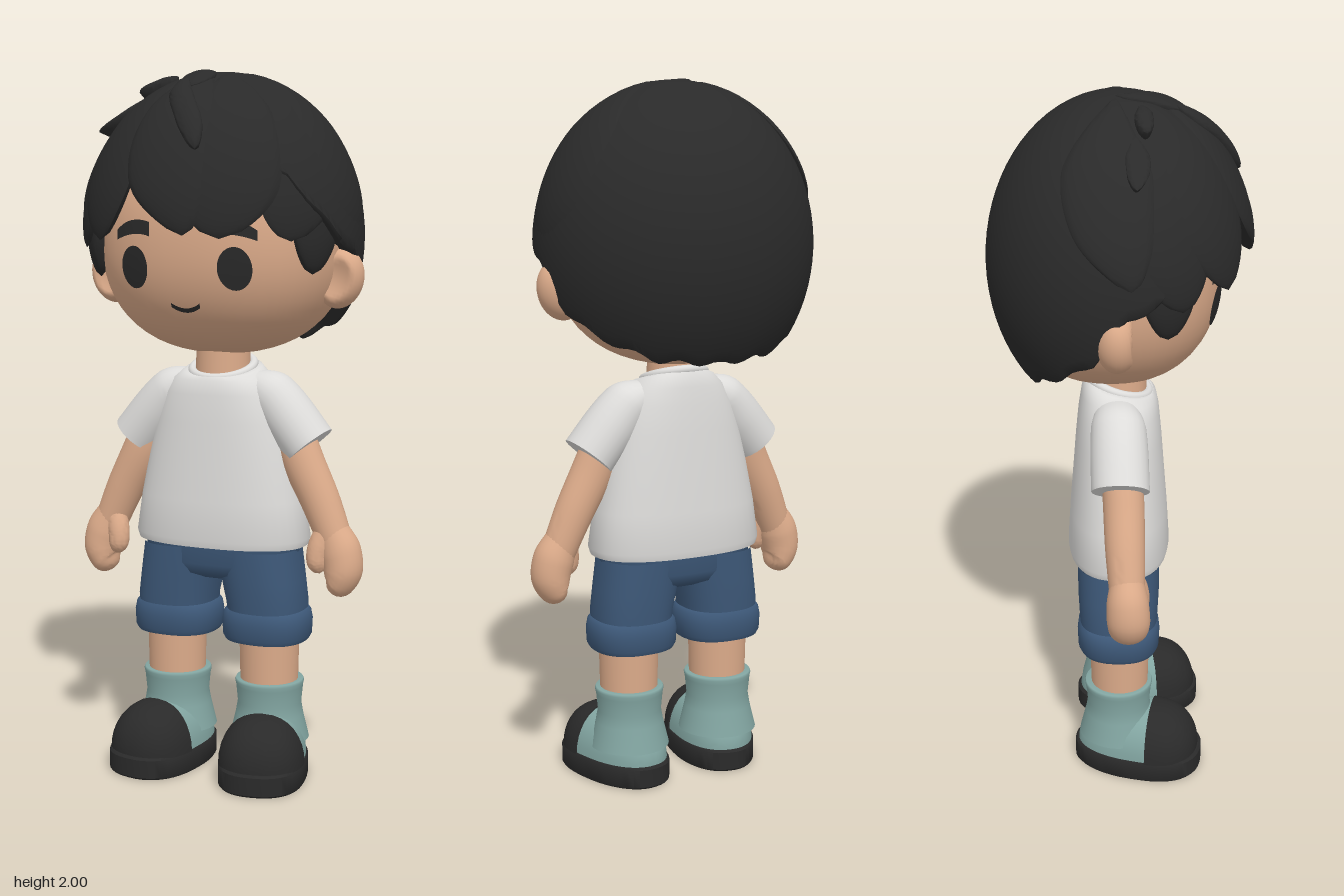
import * as THREE from 'three';
import { toCreasedNormals } from 'three/addons/utils/BufferGeometryUtils.js';

const V = (x, y, z) => new THREE.Vector3(x, y, z);
const spow = (v, e) => Math.sign(v) * Math.pow(Math.abs(v), e);
const clamp = THREE.MathUtils.clamp;

// Skin over closed loops; each loop runs counter-clockwise about the direction of travel
function loft(loops, crease = 0.9) {
  const n = loops[0].length, pos = [], idx = [];
  loops.forEach(l => l.forEach(p => pos.push(p.x, p.y, p.z)));
  for (let i = 0; i < loops.length - 1; i++) for (let j = 0; j < n; j++) {
    const k = (j + 1) % n, a = i * n + j, b = i * n + k, c = a + n, d = b + n;
    idx.push(a, b, c, b, d, c);
  }
  const g = new THREE.BufferGeometry();
  g.setAttribute('position', new THREE.Float32BufferAttribute(pos, 3));
  g.setIndex(idx);
  return toCreasedNormals(g, crease);
}
const loop = (n, f) => Array.from({ length: n }, (_, j) => f(j / n * Math.PI * 2));

// Horizontal rounded ring, optionally tilted down towards the front
const ring = (y, rx, rz, cx = 0, p = 2.4, tilt = 0) => loop(40, a => {
  const z = rz * spow(Math.cos(a), 2 / p);
  return V(cx + rx * spow(Math.sin(a), 2 / p), y - z * tilt, z);
});

// Round limb along a path of [x, y, z, radius, depth radius], with a rounded end
function limb(path, s, roundEnd) {
  const c = new THREE.CatmullRomCurve3(path.map(p => V(p[0] * s, p[1], p[2])));
  const r = new THREE.CatmullRomCurve3(path.map(p => V(p[3], p[4], 0)));
  const N = 24, Z = V(0, 0, 1), loops = [];
  for (let i = 0; i <= N; i++) {
    const u = i / N, o = c.getPoint(u), q = r.getPoint(u);
    const side = c.getTangent(u).cross(Z).normalize();
    const e = roundEnd ? Math.sqrt(1 - clamp((u - roundEnd) / (1 - roundEnd), 0, 1) ** 2) : 1;
    loops.push(loop(24, a => o.clone().addScaledVector(Z, Math.cos(a) * q.y * e)
      .addScaledVector(side, Math.sin(a) * q.x * e)));
  }
  if (!roundEnd) loops.push(loops[N].map(() => c.getPoint(1)));
  return loft(loops);
}

// Head: soft superellipsoid
const HP = 2.3, HR = [0.35, 0.32, 0.3], HC = [0, 1.53, -0.02];
const faceZ = (x, y) => HC[2] + HR[2] * Math.pow(Math.max(0,
  1 - Math.abs(x / HR[0]) ** HP - Math.abs((y - HC[1]) / HR[1]) ** HP), 1 / HP);
function headGeometry() {
  const g = new THREE.SphereGeometry(1, 48, 32), p = g.attributes.position;
  for (let i = 0; i < p.count; i++) {
    const v = V(p.getX(i), p.getY(i), p.getZ(i));
    const k = (Math.abs(v.x) ** HP + Math.abs(v.y) ** HP + Math.abs(v.z) ** HP) ** (-1 / HP);
    p.setXYZ(i, v.x * k * HR[0] + HC[0], v.y * k * HR[1] + HC[1], v.z * k * HR[2] + HC[2]);
  }
  g.computeVertexNormals();
  return g;
}
// Lay a flat geometry onto the face
function onFace(g, cx, cy, lift = 0.005, bend = 0) {
  const p = g.attributes.position;
  for (let i = 0; i < p.count; i++) {
    const x = p.getX(i) + cx, y = p.getY(i) + cy + bend * p.getX(i) ** 2;
    p.setXYZ(i, x, y, faceZ(x, y) + lift);
  }
  g.computeVertexNormals();
  return g;
}

// Hair: azimuth from the front, polar angle from the crown, in degrees
const hairPoint = (az, phi, r) => {
  const a = az * Math.PI / 180, f = phi * Math.PI / 180;
  return V(0.402 * r * Math.sin(f) * Math.sin(a), 1.54 + 0.452 * r * Math.cos(f), 0.36 * r * Math.sin(f) * Math.cos(a));
};
function hairCap() {
  const keys = [[0, 1.73], [48, 1.71], [70, 1.56], [88, 1.5], [100, 1.38], [118, 1.31], [145, 1.25], [180, 1.235]];
  const limit = az => {
    const t = Math.abs(((az + 540) % 360) - 180);
    let i = 0;
    while (i < keys.length - 2 && t > keys[i + 1][0]) i++;
    const [a, b] = [keys[i], keys[i + 1]];
    const y = a[1] + (b[1] - a[1]) * (t - a[0]) / (b[0] - a[0]) + 0.008 * Math.cos(t * 0.28);
    return Math.acos((y - 1.54) / 0.452) * 180 / Math.PI;
  };
  const rows = [];
  for (let i = 0; i <= 28; i++) rows.push([i / 28, 1]);
  rows.push([1.012, 0.98], [1, 0.9], [0.95, 0.78]);
  return loft(rows.map(([u, r]) => loop(96, a => {
    const az = 360 - a * 180 / Math.PI;
    return hairPoint(az, limit(az) * u, r);
  })));
}
// One lock: points are [azimuth, polar angle, half width]
function lock(pts, th = 0.035, r0 = 1, lift = 0, inner = 0.12) {
  const c = new THREE.CatmullRomCurve3(pts.map(p => V(...p))), N = 24, loops = [];
  for (let i = 0; i <= N; i++) {
    const u = i / N, q = c.getPoint(u);
    const e = Math.sqrt(1 - clamp((u - 0.7) / 0.3, 0, 1) ** 2) * Math.sqrt(Math.min(1, u / 0.35));
    loops.push(loop(20, a => hairPoint(q.x + q.z * e * Math.cos(a), q.y,
      r0 + lift * u * u + e * Math.sin(a) * (Math.sin(a) > 0 ? th : inner))));
  }
  return loft(loops);
}

export function createModel() {
  const root = new THREE.Group();
  const mat = (name, color, side = THREE.FrontSide) => {
    const m = new THREE.MeshStandardMaterial({ color, side });
    m.name = name;
    return m;
  };
  const skin = mat('skin', 0xdcab8a), dark = mat('charcoal', 0x2a2a2a), white = mat('offWhite', 0xdddcda);
  const denim = mat('denim', 0x3d5878), teal = mat('teal', 0x82a5a1);
  const add = (name, g, m, parent = root) => {
    const o = new THREE.Mesh(g, m);
    o.name = name;
    parent.add(o);
    return o;
  };

  // Head and face
  add('head', headGeometry(), skin);
  add('neck', new THREE.CylinderGeometry(0.075, 0.08, 0.16, 32), skin).position.set(0, 1.19, 0);
  add('mouth', onFace(new THREE.PlaneGeometry(0.085, 0.012, 12, 1), 0, 1.345, 0.004, 8), dark);
  for (const s of [-1, 1]) {
    const ear = new THREE.SphereGeometry(1, 28, 20), p = ear.attributes.position;
    for (let i = 0; i < p.count; i++) {
      const d = Math.hypot(p.getX(i), p.getY(i));
      if (p.getZ(i) > 0 && d < 0.7) p.setZ(i, p.getZ(i) - 0.5 * (1 - (d / 0.7) ** 2));
    }
    ear.scale(0.066, 0.084, 0.056);
    ear.rotateZ(-s * 0.25);
    ear.computeVertexNormals();
    add('ear', ear, skin).position.set(s * 0.35, 1.428, -0.003);
    const eye = new THREE.CircleGeometry(1, 32);
    eye.scale(0.045, 0.058, 1);
    add('eye', onFace(eye, s * 0.148, 1.46), dark);
    const brow = new THREE.PlaneGeometry(0.115, 0.038, 12, 2), q = brow.attributes.position;
    for (let i = 0; i < q.count; i++) {
      const t = s * q.getX(i) / 0.0575;
      q.setY(i, q.getY(i) * (1 - 0.3 * Math.max(0, t) ** 2) - 0.008 * t);
    }
    add('eyebrow', onFace(brow, s * 0.15, 1.568, 0.008, -4), dark);
  }

  // Hair
  const hair = new THREE.Group();
  hair.name = 'hair';
  root.add(hair);
  add('hairCap', hairCap(), dark, hair);
  const locks = {
    fringeCentre: [[[-4, 8, 30], [-6, 40, 24], [-3, 70, 18], [6, 89, 9]], 0.035, 1, 0.0],
    fringeLeft: [[[30, 8, 30], [28, 40, 24], [25, 70, 21], [20, 90, 15]], 0.03, 0.99, 0.0],
    fringeRight: [[[-40, 8, 30], [-42, 40, 26], [-42, 68, 22], [-37, 91, 11]], 0.03, 0.99, 0.0],
    templeLeft: [[[58, 8, 25], [57, 45, 23], [55, 75, 19], [50, 91, 12]], 0.02, 0.98, -0.03],
    templeRight: [[[-66, 8, 25], [-66, 45, 23], [-66, 75, 18], [-62, 94, 11]], 0.03, 0.98, 0.0],
    sideLeft: [[[95, 8, 30], [94, 45, 28], [92, 72, 24], [88, 91, 14]], 0.02, 1, -0.02],
    sideRight: [[[-98, 8, 30], [-97, 45, 26], [-93, 66, 18], [-85, 84, 8]], 0.03, 1, 0.06],
    sideburnLeft: [[[68, 55, 18], [67, 80, 15], [66, 104, 9]], 0.04, 0.92, -0.03],
    sideburnRight: [[[-68, 55, 18], [-67, 80, 15], [-66, 106, 9]], 0.05, 0.93, -0.02],
    foreLock: [[[-14, 24, 11], [-6, 36, 9], [4, 48, 7], [10, 61, 4]], 0.035, 1.035, 0.02],
    crownTuft: [[[-95, 6, 40], [-40, 9, 40], [-12, 17, 24], [-4, 30, 12]], 0.02, 1.0, 0.03],
    topSpike: [[[-60, 18, 12], [-66, 26, 9], [-70, 34, 4]], 0.03, 1.02, 0.04],
    sideSpike: [[[-78, 32, 7], [-79, 44, 7], [-82, 55, 3]], 0.02, 1.01, 0.12],
  };
  for (const [name, args] of Object.entries(locks)) add(name, lock(...args), dark, hair);

  // Shirt
  add('shirtBody', loft([
    ring(0.69, 0, 0), ring(0.675, 0.235, 0.125), ring(0.67, 0.254, 0.143), ring(0.69, 0.26, 0.147),
    ring(0.8, 0.244, 0.14), ring(0.92, 0.219, 0.13), ring(1.02, 0.194, 0.122), ring(1.1, 0.168, 0.114),
    ring(1.145, 0.142, 0.106, 0, 2.3, 0.05), ring(1.17, 0.112, 0.098, 0, 2.2, 0.2),
    ring(1.175, 0.09, 0.088, 0, 2, 0.3), ring(1.165, 0.07, 0.07, 0, 2, 0.3),
  ]), white);
  const collar = add('collar', new THREE.TorusGeometry(0.088, 0.013, 12, 40), white);
  collar.rotation.x = Math.PI / 2 + 0.3;
  collar.position.set(0, 1.172, 0);

  for (const s of [-1, 1]) {
    // Arm with sleeve, hand and thumb
    add('sleeve', limb([[0.09, 1.135, -0.005, 0.035, 0.055], [0.15, 1.098, 0, 0.07, 0.076],
      [0.21, 1.03, 0.003, 0.077, 0.08], [0.268, 0.96, 0.006, 0.076, 0.08]], s), white);
    add('arm', limb([[0.22, 1.0, 0.008, 0.055, 0.055], [0.25, 0.92, 0.014, 0.06, 0.057],
      [0.305, 0.81, 0.018, 0.056, 0.055], [0.348, 0.71, 0.023, 0.05, 0.05], [0.37, 0.65, 0.026, 0.045, 0.045]], s), skin);
    add('hand', limb([[0.345, 0.73, 0.024, 0.045, 0.045], [0.37, 0.67, 0.026, 0.058, 0.058],
      [0.378, 0.62, 0.028, 0.055, 0.06], [0.365, 0.582, 0.028, 0.045, 0.055], [0.338, 0.562, 0.028, 0.03, 0.045]], s, 0.75), skin);
    add('thumb', limb([[0.335, 0.74, 0.035, 0.03, 0.03], [0.317, 0.69, 0.05, 0.032, 0.032],
      [0.311, 0.65, 0.057, 0.03, 0.03], [0.32, 0.61, 0.058, 0.026, 0.026]], s, 0.7), skin);

    // Shorts leg, rolled cuff and bare leg
    const cx = s * 0.14;
    add('shortsLeg', loft([ring(0.42, 0.108, 0.108, cx), ring(0.5, 0.114, 0.113, cx),
      ring(0.57, 0.117, 0.117, s * 0.128), ring(0.66, 0.118, 0.118, s * 0.115)]), denim);
    add('shortsCuff', loft([ring(0.42, 0.08, 0.08, cx), ring(0.395, 0.1, 0.1, cx), ring(0.395, 0.118, 0.112, cx),
      ring(0.408, 0.125, 0.118, cx), ring(0.45, 0.127, 0.12, cx), ring(0.475, 0.122, 0.117, cx),
      ring(0.486, 0.112, 0.11, cx), ring(0.486, 0.09, 0.09, cx)]), denim);
    add('leg', new THREE.CylinderGeometry(0.088, 0.082, 0.26, 32), skin).position.set(s * 0.147, 0.34, 0.003);

    // Foot, turned slightly outwards
    const foot = new THREE.Group();
    foot.name = 'foot';
    foot.position.set(s * 0.147, 0, 0);
    foot.rotation.y = s * 0.19;
    root.add(foot);
    add('sock', new THREE.LatheGeometry([[0.115, 0.1], [0.098, 0.17], [0.092, 0.205], [0.097, 0.255], [0.1, 0.268],
      [0.097, 0.275], [0.078, 0.275]].map(p => new THREE.Vector2(...p)), 36), teal, foot);
    const sole = (y, k) => loop(44, a => V((0.122 + 0.016 * Math.cos(a)) * k * spow(Math.sin(a), 0.85), y,
      0.06 + 0.19 * k * spow(Math.cos(a), 0.85)));
    add('sole', loft([sole(0, 0), sole(0, 0.97), sole(0.006, 1), sole(0.058, 1), sole(0.064, 0.97), sole(0.064, 0)], 0.7), dark, foot);
    const section = (t, k) => {
      const w = (0.117 + 0.015 * t) * Math.pow(1 - Math.abs(t) ** 2.6, 0.45) * k;
      const h = (0.13 + 0.008 * t) * Math.pow(1 - Math.abs(t) ** 2.8, 0.5) * k;
      return loop(32, a => V(w * spow(Math.cos(a), 0.85), 0.06 + h * Math.max(0, Math.sin(a)), 0.06 + 0.18 * t));
    };
    const span = (a, b, k) => Array.from({ length: 21 }, (_, i) =>
      section(a + (b - a) * Math.sin(i / 20 * Math.PI / 2), k));
    add('shoeUpper', loft(span(0.4, -1, 1).reverse()), teal, foot);
    add('toeCap', loft([section(0.22, 0.95), ...span(0.22, 1, 1.03)]), dark, foot);
  }

  // Shorts hips
  add('shortsHips', loft([ring(0.565, 0, 0), ring(0.568, 0.12, 0.07), ring(0.585, 0.2, 0.105), ring(0.615, 0.232, 0.117),
    ring(0.69, 0.236, 0.12), ring(0.7, 0, 0)]), denim);

  return root;
}
